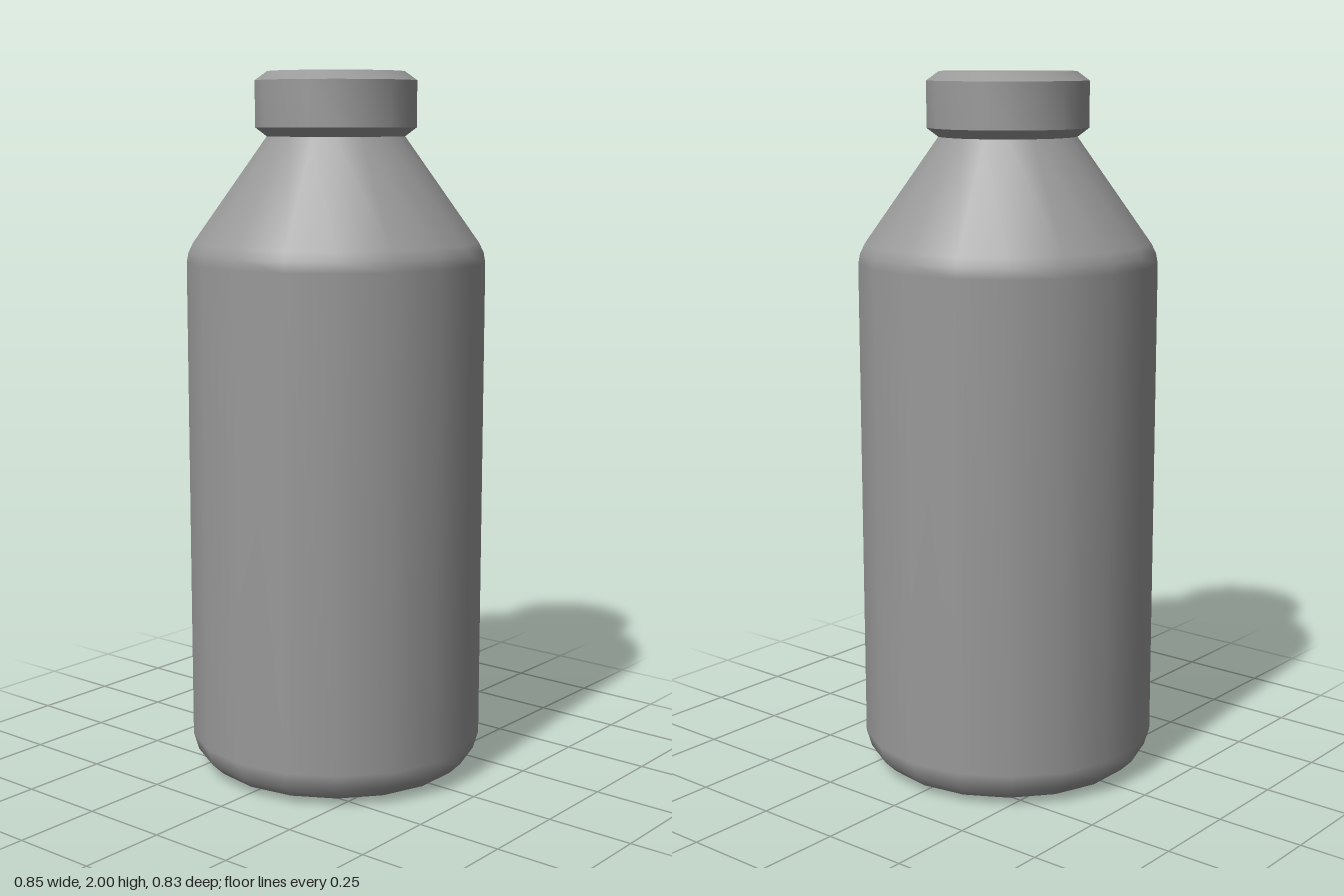
import * as THREE from 'three';
import { toCreasedNormals } from 'three/addons/utils/BufferGeometryUtils.js';

const SIDES = 18;

// Revolve [radius, height] pairs, with a corner on the x axis
function revolve(profile) {
  const points = profile.map(([r, y]) => new THREE.Vector2(r, y));
  return new THREE.LatheGeometry(points, SIDES, Math.PI / 2);
}

export function createModel() {
  const group = new THREE.Group();
  group.name = 'bottle';
  const material = new THREE.MeshStandardMaterial({ color: 0x999999 });

  // Body: flat base with rounded rim, straight wall, sloping shoulder, neck inside the cap
  const body = new THREE.Mesh(revolve([
    [0, 0], [0.32, 0], [0.375, 0.018], [0.408, 0.05], [0.423, 0.1],
    [0.423, 1.475], [0.418, 1.503], [0.405, 1.53],
    [0.197, 1.82], [0.185, 1.837],
  ]), material);
  body.name = 'body';

  // Cap: bevelled top and bottom rims with crisp edges
  const cap = new THREE.Mesh(toCreasedNormals(revolve([
    [0, 1.822], [0.195, 1.822], [0.228, 1.847],
    [0.228, 1.975], [0.193, 2], [0, 2],
  ]), Math.PI / 6), material);
  cap.name = 'cap';

  group.add(body, cap);
  return group;
}
